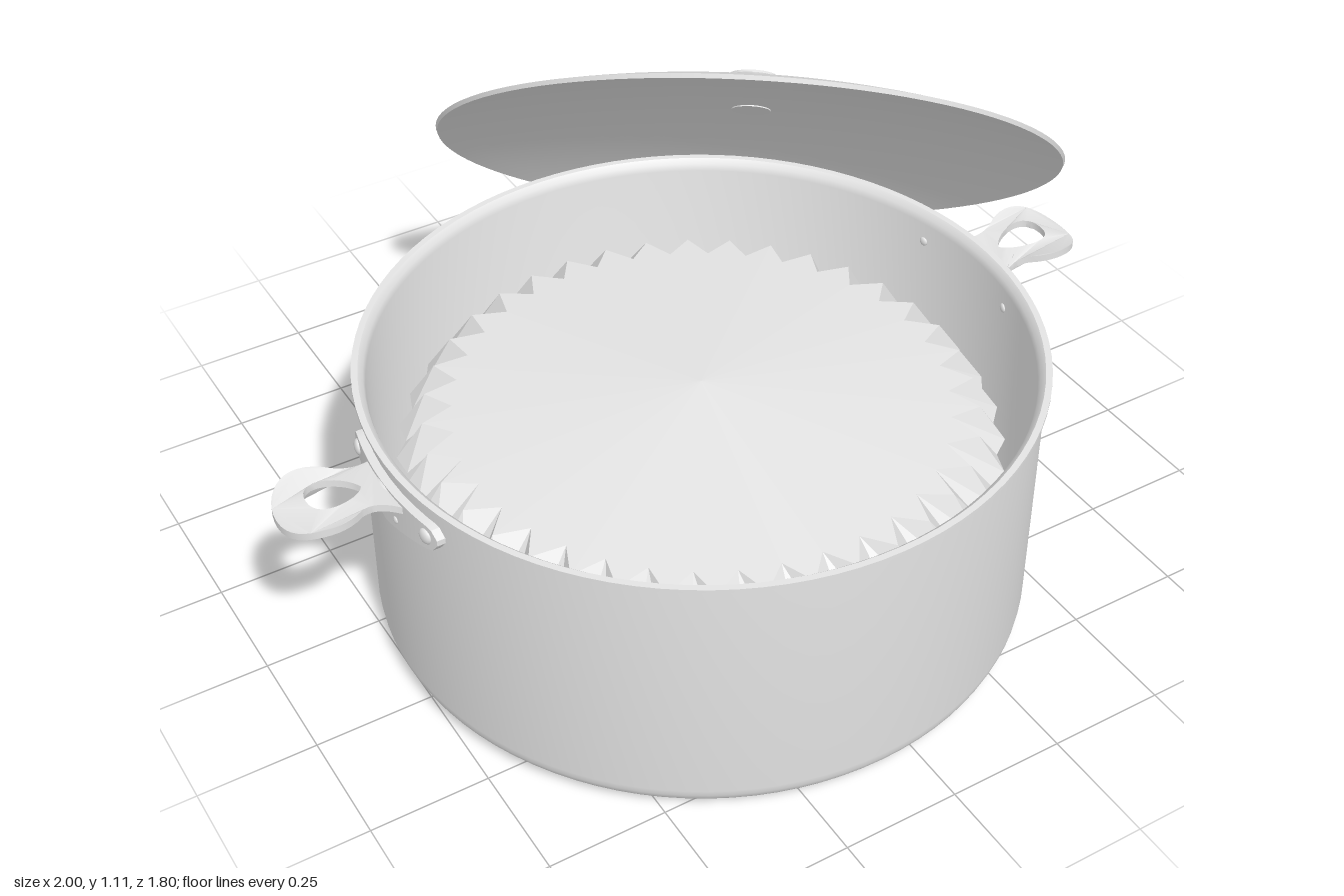
import * as THREE from 'three';
import { toCreasedNormals } from 'three/addons/utils/BufferGeometryUtils.js';

const steel = new THREE.MeshStandardMaterial({ color: 0xe4e4e4 });
steel.name = 'brushed steel';
const darkBase = new THREE.MeshStandardMaterial({ color: 0x858585 });
darkBase.name = 'dark base';
const filling = new THREE.MeshStandardMaterial({ color: 0xe4e4e4, flatShading: true, side: THREE.DoubleSide });
filling.name = 'pale filling';

const POT_R = 0.685;

function part(name, geometry, material = steel) {
  const mesh = new THREE.Mesh(geometry, material);
  mesh.name = name;
  return mesh;
}

function lathe(points, segments = 72) {
  const g = new THREE.LatheGeometry(points.map(([x, y]) => new THREE.Vector2(x, y)), segments);
  return toCreasedNormals(g, 0.6);
}

// Moves every vertex by a rule, then refreshes the normals
function reshape(geometry, rule) {
  const p = geometry.attributes.position;
  const v = new THREE.Vector3();
  for (let i = 0; i < p.count; i++) {
    v.fromBufferAttribute(p, i);
    rule(v);
    p.setXYZ(i, v.x, v.y, v.z);
  }
  return toCreasedNormals(geometry, 0.6);
}

function makePot() {
  const profile = [[0.6, 0.008]];
  // rounded bottom corner
  for (let i = 0; i <= 6; i++) {
    const a = (i / 6) * Math.PI / 2;
    profile.push([0.637 + 0.048 * Math.sin(a), 0.058 - 0.05 * Math.cos(a)]);
  }
  profile.push([POT_R, 0.583], [0.695, 0.588], [0.695, 0.595], [0.682, 0.595],
    [0.672, 0.585], [0.668, 0.57], [0.668, 0.07], [0.655, 0.035], [0.62, 0.02], [0, 0.02]);
  return part('pot', lathe(profile, 96));
}

// Shallow mound with a pleated skirt
function makeFilling() {
  const pleats = 38, n = pleats * 2;
  const positions = [0, 0.505, 0], index = [];
  for (let i = 0; i < n; i++) {
    const a = (i / n) * Math.PI * 2, odd = i % 2;
    const shoulder = odd ? 0.565 : 0.505;
    const rings = [[shoulder, 0.505 - 0.09 * shoulder], [odd ? 0.622 : 0.604, 0.37]];
    for (const [r, y] of rings) positions.push(r * Math.cos(a), y, r * Math.sin(a));
    const s = 1 + i * 2, t = 1 + ((i + 1) % n) * 2;
    index.push(0, t, s, s, t, s + 1, t, t + 1, s + 1);
  }
  const g = new THREE.BufferGeometry();
  g.setAttribute('position', new THREE.Float32BufferAttribute(positions, 3));
  g.setIndex(index);
  g.computeVertexNormals();
  return part('filling', g, filling);
}

function makeRivet(radius, distance, y, angle) {
  const rivet = part('rivet', new THREE.SphereGeometry(radius, 14, 8));
  rivet.scale.x = 0.5;
  rivet.position.set(distance * Math.cos(angle), y, distance * Math.sin(angle));
  rivet.rotation.y = -angle;
  return rivet;
}

function makeHandle(name) {
  const handle = new THREE.Group();
  handle.name = name;

  // mounting plate that follows the wall: flat top, pointed bottom, rounded ends
  const plate = reshape(new THREE.BoxGeometry(0.024, 1, 1, 1, 1, 24), (v) => {
    const s = Math.abs(v.z * 2);
    const end = THREE.MathUtils.clamp((s - 0.85) / 0.15, 0, 0.98);
    const cut = 0.024 * (1 - Math.sqrt(1 - end * end));
    const z = v.z * 0.36;
    const y = v.y > 0 ? 0.553 - cut : 0.46 + 0.042 * s + cut;
    v.set(v.x + Math.sqrt(0.69 ** 2 - z * z), y, z);
  });
  handle.add(part('handlePlate', plate));

  // rivets: a large one at each end, with a head inside the pot, and two small ones below the grip
  for (const side of [-1, 1]) {
    handle.add(makeRivet(0.017, 0.702, 0.526, side * 0.212));
    handle.add(makeRivet(0.01, 0.667, 0.526, side * 0.212));
    handle.add(makeRivet(0.008, 0.702, 0.493, side * 0.065));
  }

  // root that joins the grip to the plate
  const root = part('gripRoot', new THREE.SphereGeometry(1, 20, 12));
  root.scale.set(0.026, 0.028, 0.048);
  root.position.set(0.697, 0.524, 0);
  handle.add(root);

  // arched grip with a teardrop hole
  const outline = new THREE.Shape();
  outline.moveTo(0.685, -0.085);
  outline.bezierCurveTo(0.72, -0.06, 0.75, -0.055, 0.775, -0.07);
  outline.bezierCurveTo(0.84, -0.12, 0.915, -0.085, 0.915, 0);
  outline.bezierCurveTo(0.915, 0.085, 0.84, 0.12, 0.775, 0.07);
  outline.bezierCurveTo(0.75, 0.055, 0.72, 0.06, 0.685, 0.085);
  const hole = new THREE.Path();
  hole.moveTo(0.745, 0);
  hole.bezierCurveTo(0.76, 0.035, 0.855, 0.07, 0.855, 0);
  hole.bezierCurveTo(0.855, -0.07, 0.76, -0.035, 0.745, 0);
  outline.holes.push(hole);
  const grip = new THREE.ExtrudeGeometry(outline, { depth: 0.016, bevelEnabled: false, curveSegments: 14 });
  grip.rotateX(-Math.PI / 2);
  // the arch rises from the wall, then drops faster to the tip
  const rise = (x) => {
    const t = (x - 0.685) / 0.23 - 0.7;
    return 0.56 - (t > 0 ? 0.24 : 0.071) * t * t;
  };
  handle.add(part('grip', reshape(grip, (v) => { v.y += rise(v.x); })));
  return handle;
}

function makeLid() {
  const lid = new THREE.Group();
  lid.name = 'lid';
  const radius = 0.697, height = 0.106, thick = 0.01, steps = 16;
  const sphere = (radius ** 2 + height ** 2) / (2 * height);
  const dome = (r) => Math.sqrt(sphere ** 2 - r * r) - (sphere - height);
  const profile = [];
  for (let i = 0; i <= steps; i++) {
    const r = (i / steps) * (radius - 0.004);
    profile.push([r, dome(r) - thick]);
  }
  for (let i = steps; i >= 0; i--) {
    const r = (i / steps) * radius;
    profile.push([r, dome(r)]);
  }
  lid.add(part('lidDome', lathe(profile, 96)));
  // waisted knob
  lid.add(part('knob', lathe([[0, 0.093], [0.044, 0.093], [0.044, 0.106], [0.034, 0.112], [0.025, 0.122],
    [0.025, 0.134], [0.036, 0.15], [0.054, 0.162], [0.058, 0.168], [0.054, 0.174], [0.03, 0.179], [0, 0.18]], 36)));
  return lid;
}

export function createModel() {
  const model = new THREE.Group();
  model.name = 'cookingPot';

  const body = new THREE.Group();
  body.name = 'potBody';
  body.position.set(-0.085, 0, 0.2);
  const base = part('base', new THREE.CylinderGeometry(0.637, 0.635, 0.009, 96), darkBase);
  base.position.y = 0.0045;
  const left = makeHandle('leftHandle');
  const right = makeHandle('rightHandle');
  right.rotation.y = Math.PI;
  body.add(makePot(), base, makeFilling(), left, right);

  // lid leaning against the back left of the rim
  const lid = makeLid();
  lid.position.set(0.363, 0.61, -0.33);
  lid.quaternion.setFromUnitVectors(new THREE.Vector3(0, 1, 0), new THREE.Vector3(0.418, 0.704, -0.575).normalize());

  model.add(body, lid);
  return model;
}
